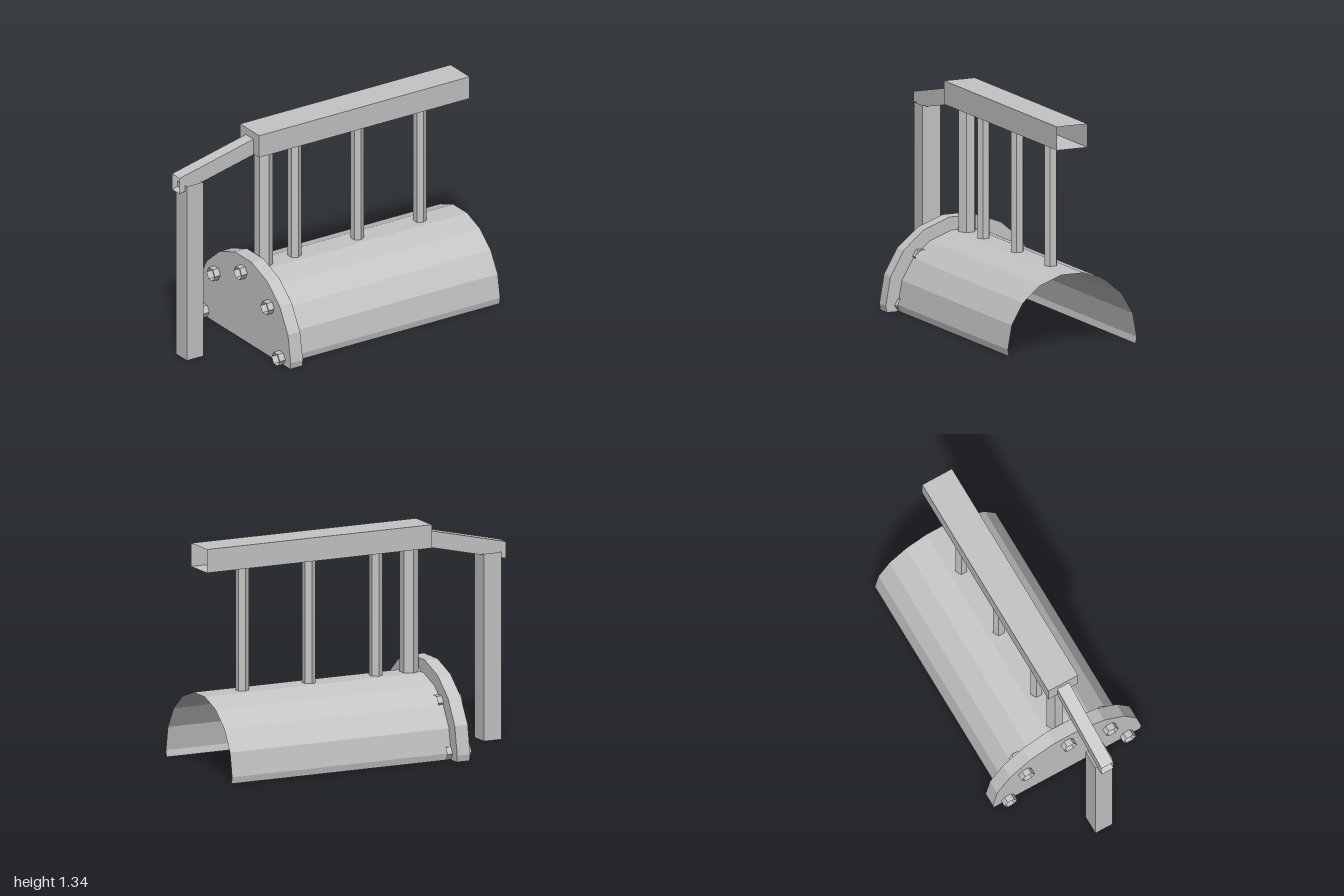
import * as THREE from 'three';

const steel = new THREE.MeshStandardMaterial({ color: 0xc4c4c4, flatShading: true, side: THREE.DoubleSide });
steel.name = 'grey steel';

// Sweep a [z, y] profile along x into a thin open skin, optionally climbing by rise
function sweep(profile, x0, x1, rise = 0) {
  const pos = [];
  for (let i = 0; i < profile.length - 1; i++) {
    const [za, ya] = profile[i], [zb, yb] = profile[i + 1];
    const a = [x0, ya, za], b = [x0, yb, zb], c = [x1, yb + rise, zb], d = [x1, ya + rise, za];
    pos.push(...a, ...c, ...b, ...a, ...d, ...c);
  }
  const g = new THREE.BufferGeometry();
  g.setAttribute('position', new THREE.Float32BufferAttribute(pos, 3));
  g.computeVertexNormals();
  return g;
}

// Closed rectangular section
const rect = (hz, y0, y1) => [[hz, y0], [hz, y1], [-hz, y1], [-hz, y0], [hz, y0]];

// Upper part of an 18-sided circle, centred at y = 0.04 and cut off at the ground
function arch(r) {
  const at = (deg) => [r * Math.cos(deg * Math.PI / 180), 0.04 + r * Math.sin(deg * Math.PI / 180)];
  const low = at(-20), side = at(0);
  const t = 0.04 / (side[1] - low[1]);
  const foot = side[0] + (low[0] - side[0]) * t;
  const pts = [[foot, 0]];
  for (let deg = 0; deg <= 180; deg += 20) pts.push(at(deg));
  pts.push([-foot, 0]);
  return pts;
}

// Flat face across a [z, y] outline at a given x
function face(profile, x) {
  const g = new THREE.ShapeGeometry(new THREE.Shape(profile.map(([z, y]) => new THREE.Vector2(-z, y))));
  return g.rotateY(Math.PI / 2).translate(x, 0, 0);
}

// Open-ended upright prism
function prism(r, y0, y1, sides) {
  return new THREE.CylinderGeometry(r, r, y1 - y0, sides, 1, true).translate(0, (y0 + y1) / 2, 0);
}

export function createModel() {
  const model = new THREE.Group();
  const add = (name, geometry, x = 0, y = 0, z = 0, parent = model) => {
    const mesh = new THREE.Mesh(geometry, steel);
    mesh.name = name;
    mesh.position.set(x, y, z);
    parent.add(mesh);
    return mesh;
  };

  // Arched shell, open underneath and at the far end
  add('archedShell', sweep(arch(0.42), -0.44, 1));

  // End plate: two faces and a rim, open at the bottom
  const plate = new THREE.Group();
  plate.name = 'endPlate';
  model.add(plate);
  const outline = arch(0.5);
  add('plateRim', sweep(outline, -0.525, -0.44), 0, 0, 0, plate);
  add('plateOuterFace', face(outline, -0.525).scale(1, 1, 1), 0, 0, 0, plate);
  add('plateInnerFace', face(outline, -0.44), 0, 0, 0, plate);

  // Five hexagonal bolts through the plate
  const bolt = new THREE.CylinderGeometry(0.043, 0.043, 0.16, 6, 1, true).rotateZ(Math.PI / 2);
  for (let i = 0; i < 5; i++) {
    const a = i * Math.PI / 4;
    add('bolt', bolt, -0.485, 0.04 + 0.4 * Math.sin(a), 0.4 * Math.cos(a));
  }

  // Posts between the shell and the beam
  add('thickPost', prism(0.055, 0.4, 1.32, 6), -0.382);
  for (const x of [-0.164, 0.277, 0.716]) add('thinPost', prism(0.04, 0.44, 1.24, 6), x);

  // Hollow top beam, closed at the arm end only
  const section = rect(0.1, 1.2, 1.34);
  add('topBeam', sweep(section, -0.48, 1));
  add('beamEndCap', face(section.slice(0, 4), -0.48));

  // Sloping hollow arm and the leg under it
  add('slopingArm', sweep(rect(0.04, 1.075, 1.175), -1, -0.48, 0.12));
  add('leg', prism(0.058 * Math.SQRT2, 0, 1.12, 4).rotateY(Math.PI / 4), -0.902);

  return model;
}
